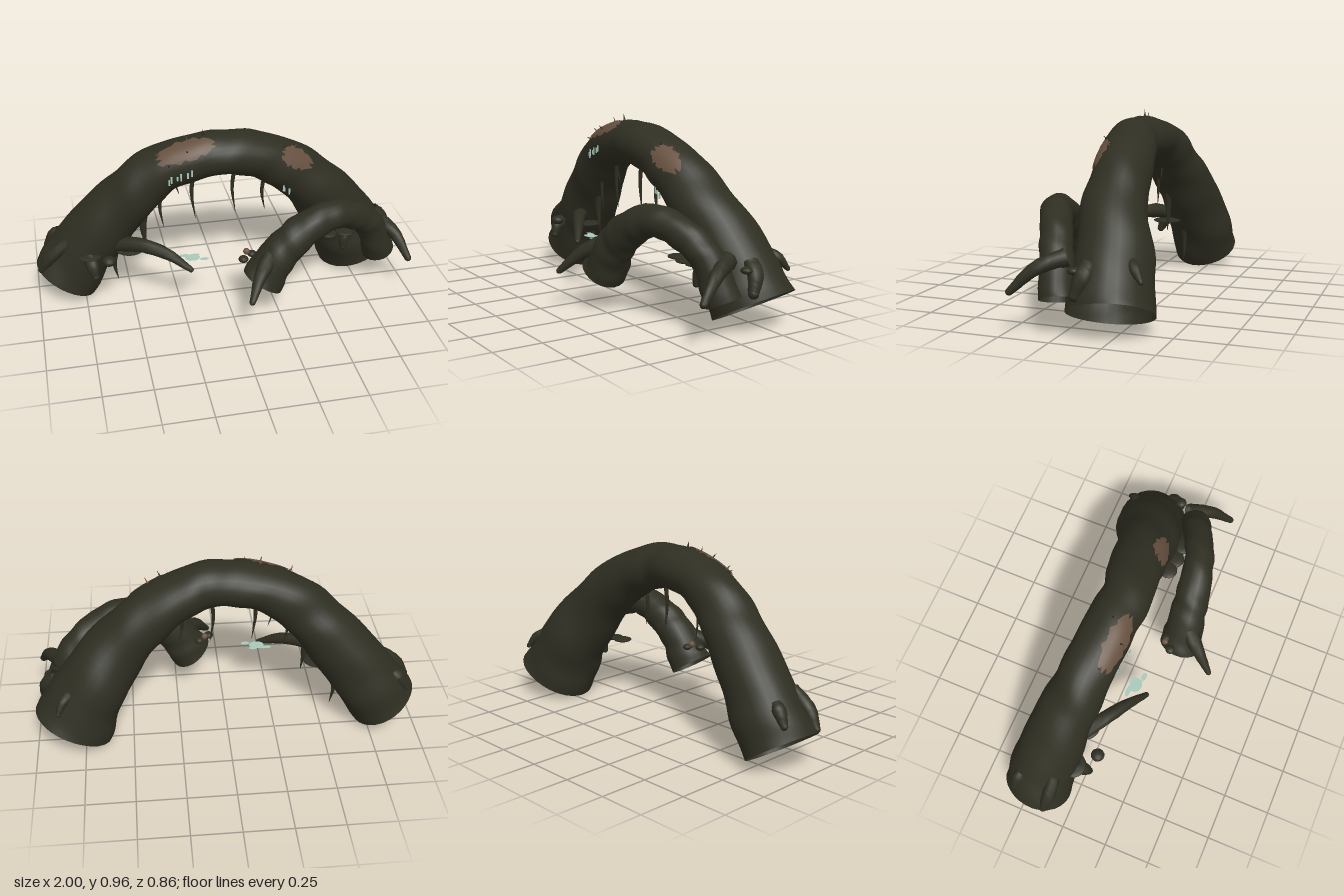
import * as THREE from 'three';

const bark = new THREE.MeshStandardMaterial({ color: 0x2e2e22, side: THREE.DoubleSide });
bark.name = 'dark bark';
const rust = new THREE.MeshStandardMaterial({ color: 0x66503f, side: THREE.DoubleSide });
rust.name = 'brown patch';
const pale = new THREE.MeshStandardMaterial({ color: 0xa8c8bb, side: THREE.DoubleSide });
pale.name = 'pale water';

// A limb is a smooth path of [x, y, z, radius, depth stretch] points with a lumpy section.
function limb(points, lump = 0) {
  const path = new THREE.CatmullRomCurve3(points.map(p => new THREE.Vector3(p[0], p[1], p[2])));
  const size = new THREE.CatmullRomCurve3(points.map((p, i) => new THREE.Vector3(p[3], p[4] ?? 1, i)));
  const Z = new THREE.Vector3(0, 0, 1);
  // a = 0 is the upper side and a = PI / 2 faces the front
  return (u, a, lift = 0) => {
    const T = path.getTangent(u);
    const B = Z.clone().addScaledVector(T, -T.z).normalize();
    const N = B.clone().cross(T);
    const bumps = 0.5 * Math.sin(u * 47 + 2 * Math.sin(a)) + 0.35 * Math.sin(u * 29 + 3 * a) + 0.3 * Math.sin(2 * a + u * 71);
    const s = size.getPoint(u), r = s.x * (1 + lump * bumps);
    return path.getPoint(u).addScaledVector(N, (r + lift) * Math.cos(a))
      .addScaledVector(B, (r * s.y + lift) * Math.sin(a));
  };
}

// Indexed grid of points; closed grids share their first and last columns.
function grid(rows, cols, at, closed) {
  const pos = [], index = [], w = closed ? cols : cols + 1;
  for (let i = 0; i <= rows; i++)
    for (let j = 0; j < w; j++) pos.push(...at(i / rows, j / cols).toArray());
  for (let i = 0; i < rows; i++)
    for (let j = 0; j < cols; j++) {
      const k = (j + 1) % w, a = i * w + j, b = i * w + k, c = a + w, d = b + w;
      index.push(a, b, c, b, d, c);
    }
  const g = new THREE.BufferGeometry();
  g.setAttribute('position', new THREE.Float32BufferAttribute(pos, 3));
  g.setIndex(index);
  g.computeVertexNormals();
  return g;
}

export function createModel() {
  const group = new THREE.Group();
  const add = (name, geometry, material = bark) => {
    const m = new THREE.Mesh(geometry, material);
    m.name = name;
    group.add(m);
    return m;
  };
  const tube = (name, surface, rows, cols) =>
    add(name, grid(rows, cols, (u, v) => surface(u, v * Math.PI * 2), true));

  // Great arched root, open at both cut ends
  const arch = limb([
    [-0.845, 0.1, -0.205, 0.182], [-0.7, 0.32, -0.19, 0.172], [-0.495, 0.57, -0.145, 0.15, 1],
    [-0.315, 0.735, -0.11, 0.13, 1.04], [-0.09, 0.81, -0.085, 0.115, 1.17], [0.1, 0.81, -0.075, 0.117, 1.12],
    [0.29, 0.735, -0.105, 0.128, 1.12], [0.5, 0.57, -0.13, 0.152, 1.02], [0.7, 0.31, -0.195, 0.187],
    [0.81, 0.1, -0.22, 0.212]], 0.045);
  tube('mainArch', arch, 72, 28);

  // Smaller root arching forward from the thick end
  const side = limb([
    [0.16, 0.19, 0.212, 0.115], [0.26, 0.345, 0.205, 0.1], [0.38, 0.45, 0.19, 0.092],
    [0.53, 0.51, 0.16, 0.08], [0.68, 0.465, 0.1, 0.078], [0.8, 0.36, 0.045, 0.08],
    [0.88, 0.165, 0.01, 0.088]], 0.05);
  tube('sideArch', side, 48, 20);

  // Tapering rootlets with rounded tips
  const rootlets = [
    [[-0.6, 0.32, -0.1, 0.04], [-0.45, 0.36, 0.01, 0.038], [-0.32, 0.335, 0.09, 0.03], [-0.21, 0.27, 0.16, 0.015]],
    [[0.22, 0.36, 0.22, 0.05], [0.13, 0.3, 0.32, 0.036], [0.06, 0.2, 0.42, 0.016]],
    [[0.86, 0.36, -0.03, 0.045], [0.93, 0.315, 0.09, 0.034], [0.98, 0.21, 0.2, 0.018]],
    [[0.88, 0.34, -0.145, 0.038], [0.93, 0.29, -0.135, 0.04], [0.955, 0.21, -0.105, 0.027]],
    [[0.79, 0.36, -0.31, 0.02], [0.84, 0.33, -0.345, 0.026], [0.87, 0.275, -0.385, 0.012]],
    [[-0.82, 0.36, -0.1, 0.03], [-0.92, 0.28, -0.1, 0.035], [-0.975, 0.2, -0.11, 0.02]],
    [[-0.86, 0.34, -0.27, 0.025], [-0.89, 0.31, -0.28, 0.035], [-0.93, 0.25, -0.29, 0.02]],
    [[-0.72, 0.3, -0.06, 0.04], [-0.71, 0.26, 0.01, 0.034], [-0.7, 0.21, 0.035, 0.02]],
    [[0.7, 0.3, -0.02, 0.035], [0.675, 0.26, 0.0, 0.03], [0.67, 0.21, 0.01, 0.018]],
  ];
  for (const pts of rootlets) {
    tube('rootlet', limb(pts, 0.05), 14, 10);
    const e = pts[pts.length - 1];
    add('rootletTip', new THREE.SphereGeometry(e[3], 10, 6)).position.set(e[0], e[1], e[2]);
  }

  // Hanging fibres below the arch: x, top, bottom, z, radius
  const fibres = [
    [-0.15, 0.73, 0.45, -0.06, 0.013], [-0.32, 0.63, 0.41, -0.07, 0.012], [-0.225, 0.69, 0.57, -0.12, 0.008],
    [0.07, 0.72, 0.46, -0.07, 0.012], [0.23, 0.66, 0.46, -0.06, 0.012],
    [-0.41, 0.52, 0.26, -0.1, 0.024], [-0.57, 0.24, 0.06, -0.15, 0.016]];
  for (const [x, top, low, z, r] of fibres)
    tube('hangingFibre', limb([[x, top, z, r], [x - 0.012, top * 0.55 + low * 0.45, z, r * 0.75],
      [x + 0.006, low, z, 0.001]]), 8, 6);

  // Ragged patches that hug the upper front of the arch
  const patch = (u0, u1, a0, a1) => add('barePatch', grid(28, 14, (s, t) => {
    const wide = Math.pow(Math.sin(Math.PI * (0.04 + 0.92 * s)), 0.45);
    const edge = wide * (1 + 0.11 * Math.sin(s * 23) + 0.07 * Math.sin(s * 41 + t * 5));
    const a = (a0 + a1) / 2 + (t - 0.5) * (a1 - a0) * edge;
    return arch(u0 + (u1 - u0) * s + 0.006 * Math.sin(t * 11), a, 0.005);
  }), rust);
  patch(0.35, 0.473, 0.22, 1.15);
  patch(0.648, 0.725, 0.4, 1.25);

  // Thorns standing out of the arch
  const up = new THREE.Vector3(0, 1, 0);
  [[0.35, 0.5], [0.365, 1.1], [0.41, 0.8], [0.415, 0.2], [0.452, 0.1], [0.65, 0.6], [0.68, 0.4]]
    .forEach(([u, a], i) => {
      const base = arch(u, a), dir = arch(u, a, 0.1).sub(base).normalize();
      const thorn = add('thorn', new THREE.ConeGeometry(0.007, 0.042, 6), i % 3 ? bark : rust);
      thorn.position.copy(base).addScaledVector(dir, 0.013);
      thorn.quaternion.setFromUnitVectors(up, dir);
    });

  // Pale drips on the front of the arch: position along it, angle, length
  [[0.349, 1.72, 0.03], [0.357, 1.66, 0.036], [0.371, 1.72, 0.022], [0.38, 1.72, 0.04], [0.396, 1.74, 0.03],
    [0.407, 1.7, 0.034], [0.703, 2.2, 0.036], [0.709, 2.25, 0.022], [0.722, 2.2, 0.034]]
    .forEach(([u, a, h]) => {
      const drip = add('drip', new THREE.BoxGeometry(0.009, h, 0.005), pale);
      drip.position.copy(arch(u, a, 0.007));
    });

  // Thin pale puddles floating below
  [[-0.235, 0.065, 0.036, 0.014], [-0.19, 0.09, 0.042, 0.034], [-0.13, 0.113, 0.025, 0.014], [-0.17, 0.065, 0.024, 0.014]]
    .forEach(([x, z, w, d], k) => {
      const p = add('puddle', new THREE.CircleGeometry(1, 9), pale);
      p.rotation.x = -Math.PI / 2;
      p.scale.set(w, d, 1);
      p.position.set(x, 0.3 - k * 0.001, z);
    });

  // Flat fungus caps and small knobs: x, y, z, radius, flatness
  [[-0.625, 0.31, 0.055, 0.036, 0.7], [-0.72, 0.3, -0.045, 0.07, 0.18], [-0.5, 0.3, -0.07, 0.08, 0.15],
    [0.5, 0.31, 0.0, 0.05, 0.25], [0.58, 0.305, 0.01, 0.05, 0.25], [0.67, 0.31, 0.02, 0.05, 0.25],
    [0.065, 0.315, 0.185, 0.026, 0.7], [0.12, 0.315, 0.14, 0.024, 0.7], [0.92, 0.315, -0.09, 0.03, 0.6]]
    .forEach(([x, y, z, r, f]) => {
      const k = add('fungusCap', new THREE.SphereGeometry(r, 14, 8));
      k.scale.y = f;
      k.position.set(x, y, z);
    });
  add('brownKnob', new THREE.SphereGeometry(0.018, 12, 8), rust).position.set(0.09, 0.335, 0.145);

  return group;
}
